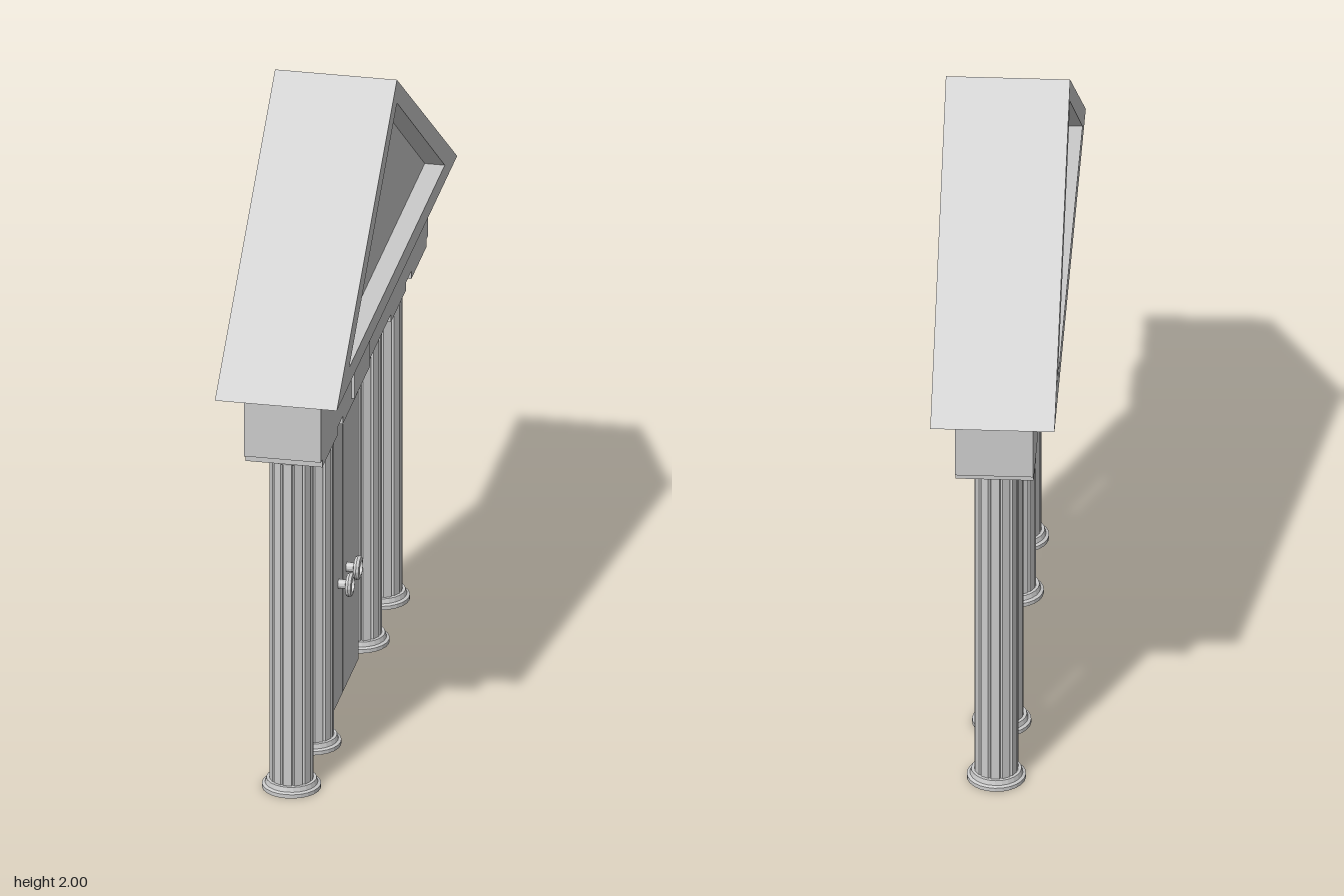
import * as THREE from 'three';

const material = new THREE.MeshStandardMaterial({ color: 0xcccccc, flatShading: true, side: THREE.DoubleSide });

function add(parent, name, geometry, x = 0, y = 0, z = 0) {
  const mesh = new THREE.Mesh(geometry, material);
  mesh.name = name;
  mesh.position.set(x, y, z);
  parent.add(mesh);
  return mesh;
}

// box given by its limits on each axis
function block(parent, name, [x0, x1], [y0, y1], [z0, z1]) {
  return add(parent, name, new THREE.BoxGeometry(x1 - x0, y1 - y0, z1 - z0),
    (x0 + x1) / 2, (y0 + y1) / 2, (z0 + z1) / 2);
}

function lathe(points, segments) {
  return new THREE.LatheGeometry(points.map(([r, y]) => new THREE.Vector2(r, y)), segments);
}

function triangle(half, y0, y1, Type = THREE.Shape) {
  return new Type([new THREE.Vector2(-half, y0), new THREE.Vector2(half, y0), new THREE.Vector2(0, y1)]);
}

// extrude a z-y outline along x, centred
function extrudeX(shape, depth) {
  return new THREE.ExtrudeGeometry(shape, { depth, bevelEnabled: false })
    .translate(0, 0, -depth / 2).rotateY(Math.PI / 2);
}

// shaft section: twelve flat faces separated by narrow grooves
function shaftGeometry(radius, height) {
  const points = [];
  for (let k = 0; k < 12; k++) {
    for (const [deg, r] of [[-11, radius], [11, radius], [15, radius * 0.9]]) {
      const a = THREE.MathUtils.degToRad(k * 30 + deg);
      points.push(new THREE.Vector2(Math.cos(a) * r, Math.sin(a) * r));
    }
  }
  return new THREE.ExtrudeGeometry(new THREE.Shape(points), { depth: height, bevelEnabled: false })
    .rotateX(-Math.PI / 2);
}

function createColumn(z) {
  const column = new THREE.Group();
  column.name = 'column';
  column.position.z = z;
  add(column, 'columnBase', lathe([[0, 0], [0.087, 0], [0.087, 0.012], [0.078, 0.016], [0.074, 0.03], [0, 0.03]], 24));
  add(column, 'lowerShaft', shaftGeometry(0.065, 0.52), 0, 0.03);
  add(column, 'upperShaft', shaftGeometry(0.065, 0.525), 0, 0.55);
  add(column, 'capital', lathe([[0, 1.07], [0.068, 1.07], [0.072, 1.08], [0.085, 1.088], [0.088, 1.096], [0, 1.096]], 24));
  block(column, 'abacus', [-0.115, 0.115], [1.095, 1.125], [-0.113, 0.113]);
  return column;
}

export function createModel() {
  const model = new THREE.Group();
  model.name = 'templeFacade';

  // gable roof frame with a recessed panel on both faces
  const frame = triangle(0.9, 1.34, 2);
  frame.holes.push(triangle(0.715, 1.395, 1.925, THREE.Path));
  add(model, 'roofFrame', extrudeX(frame, 0.365));
  add(model, 'pedimentPanel', extrudeX(triangle(0.72, 1.392, 1.93), 0.245));

  // beam with slightly raised stones on both faces
  block(model, 'beam', [-0.115, 0.115], [1.12, 1.34], [-0.8, 0.8]);
  const stones = [
    [[1.23, 1.34], [0.35, 0.575]],
    [[1.23, 1.34], [-0.57, -0.115]],
    [[1.12, 1.23], [0.115, 0.345]],
  ];
  for (const [y, z] of stones) {
    block(model, 'raisedStone', [0.11, 0.125], y, z);
    block(model, 'raisedStone', [-0.125, -0.11], y, [-z[1], -z[0]]);
  }

  for (const z of [0.665, 0.36, -0.36, -0.665]) model.add(createColumn(z));

  // double door with a shared back panel and a round handle on each leaf
  block(model, 'doorBack', [-0.02, 0.01], [0, 1.12], [-0.24, 0.24]);
  for (const s of [1, -1]) {
    const leaf = [s * 0.002, s * 0.24].sort((a, b) => a - b);
    block(model, 'doorLeaf', [0.01, 0.02], [0, 1.12], leaf);
    const knob = lathe([[0.014, 0], [0.014, 0.022], [0.034, 0.026], [0.037, 0.034], [0.034, 0.042],
      [0.022, 0.044], [0.022, 0.036], [0, 0.036]], 12).rotateZ(-Math.PI / 2);
    add(model, 'doorHandle', knob, 0.02, 0.38, s * 0.06);
  }
  return model;
}
